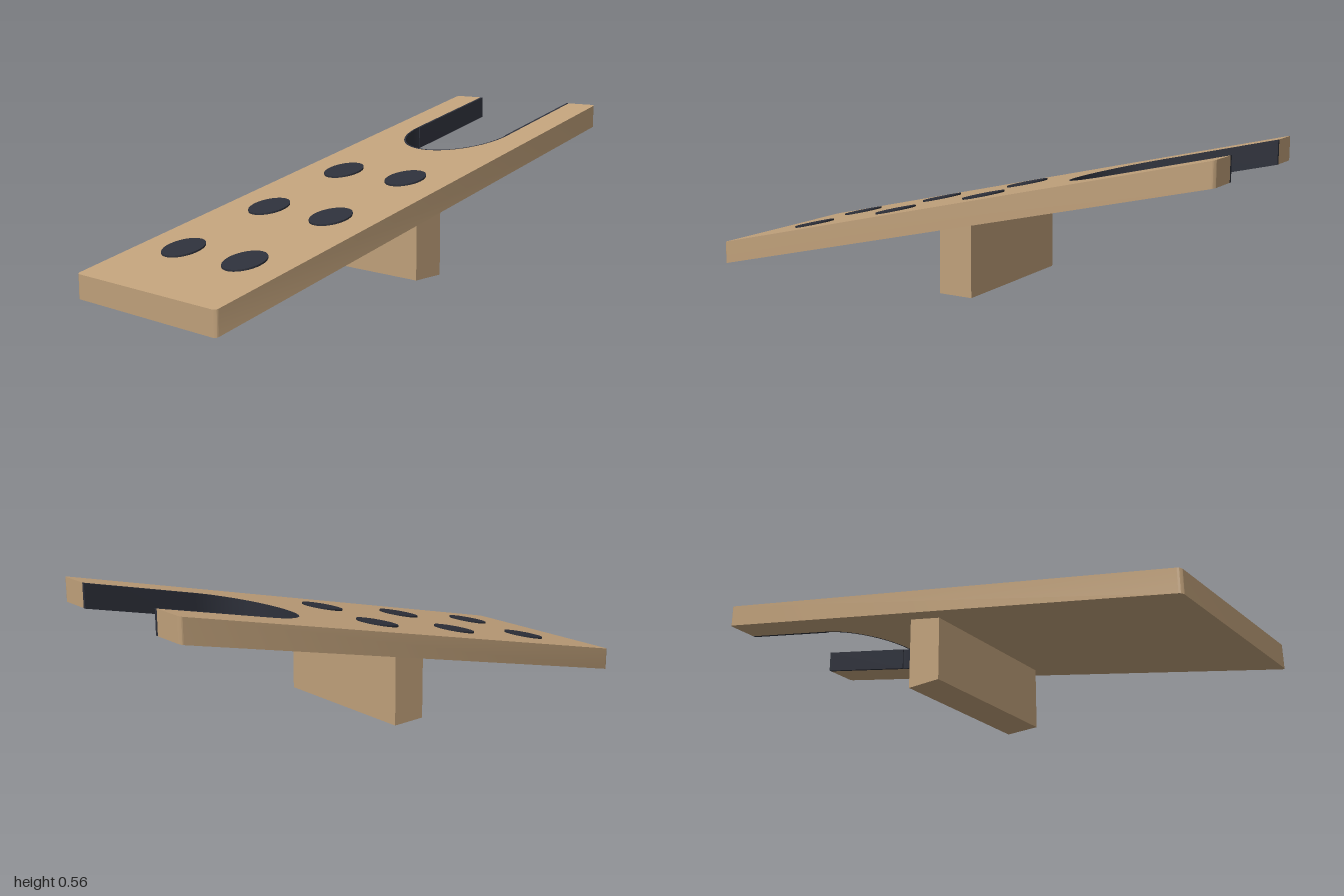
import * as THREE from 'three';
import { toCreasedNormals } from 'three/addons/utils/BufferGeometryUtils.js';

const SLOPE = 0.236, THICK = 0.085, ARC = 0.58, OUTER = 0.227;

// Lean a geometry along the ramp: height grows towards the back, ends stay vertical
function shear(geo) {
  const p = geo.attributes.position;
  for (let i = 0; i < p.count; i++) p.setY(i, p.getY(i) + SLOPE * (1 - p.getZ(i)));
  return toCreasedNormals(geo.index ? geo.toNonIndexed() : geo, 0.5);
}

// Extrude a plan outline (x, -z) upwards, then lean it
function slab(shape) {
  const geo = new THREE.ExtrudeGeometry(shape, { depth: THICK, bevelEnabled: false, curveSegments: 32 });
  geo.rotateX(-Math.PI / 2).translate(0, 0.002, 0);
  return shear(geo);
}

export function createModel() {
  const wood = new THREE.MeshStandardMaterial({ color: 0xbfa07a });
  wood.name = 'wood';
  const rubber = new THREE.MeshStandardMaterial({ color: 0x2d303a });
  rubber.name = 'rubber';

  const model = new THREE.Group();
  model.name = 'bootJack';
  const add = (name, geo, mat) => {
    const mesh = new THREE.Mesh(geo, mat);
    mesh.name = name;
    model.add(mesh);
    return mesh;
  };

  // Sloping board with rounded corners and a U notch at the back
  const w = 0.352, r = 0.014;
  const outline = new THREE.Shape();
  outline.moveTo(-w + r, -1);
  outline.lineTo(w - r, -1);
  outline.absarc(w - r, -1 + r, r, -Math.PI / 2, 0, false);
  outline.absarc(w - r, 1 - r, r, 0, Math.PI / 2, false);
  outline.lineTo(OUTER, 1);
  outline.lineTo(OUTER, ARC);
  outline.absarc(0, ARC, OUTER, 0, -Math.PI, true);
  outline.lineTo(-OUTER, 1);
  outline.absarc(-w + r, 1 - r, r, Math.PI / 2, Math.PI, false);
  outline.absarc(-w + r, -1 + r, r, Math.PI, Math.PI * 1.5, false);
  add('board', slab(outline), wood);

  // Rubber lining of the notch
  const inner = 0.216, innerArc = 0.22;
  const lining = new THREE.Shape();
  lining.moveTo(-OUTER, 1);
  lining.lineTo(-OUTER, ARC);
  lining.absarc(0, ARC, OUTER, Math.PI, Math.PI * 2, false);
  lining.lineTo(OUTER, 1);
  lining.lineTo(inner, 1);
  lining.lineTo(inner, ARC);
  lining.absarc(0, ARC, innerArc, Math.PI * 2, Math.PI, true);
  lining.lineTo(-inner, ARC);
  lining.lineTo(-inner, 1);
  add('notchLining', slab(lining), rubber);

  // Round grip pads, slightly proud of the board
  for (const z of [-0.065, 0.32, 0.71]) {
    for (const x of [-0.154, 0.154]) {
      const pad = new THREE.CylinderGeometry(0.075, 0.075, 0.009, 40);
      pad.translate(x, THICK + 0.0035, z);
      add('gripPad', shear(pad), rubber);
    }
  }

  // Support block under the board
  const block = add('supportBlock', new THREE.BoxGeometry(0.58, 0.27, 0.13), wood);
  block.position.set(0, 0.135, -0.035);

  return model;
}
